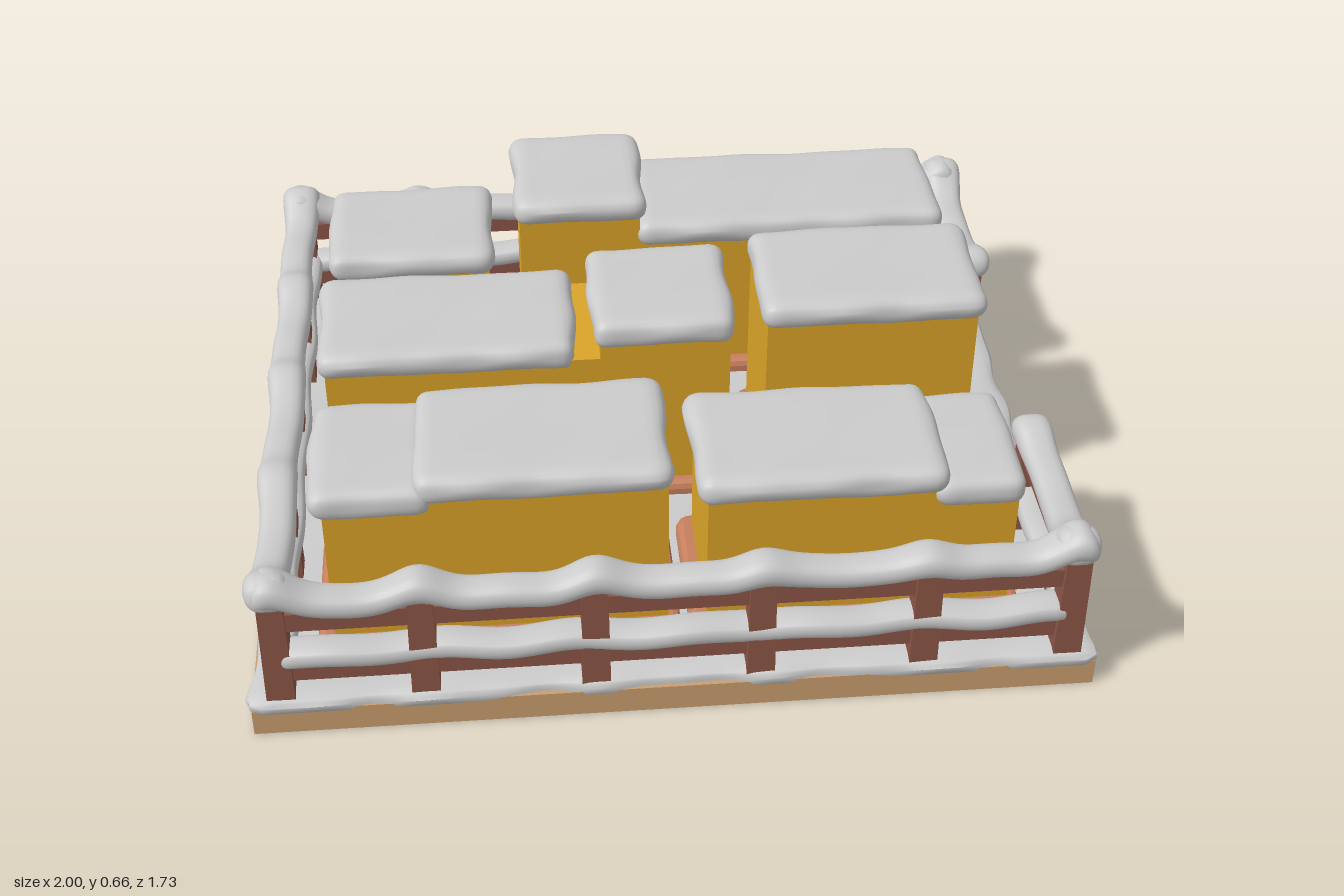
import * as THREE from 'three';
import { mergeVertices } from 'three/addons/utils/BufferGeometryUtils.js';

const paint = (color) => new THREE.MeshStandardMaterial({ color });

export function createModel() {
  const model = new THREE.Group();
  const snowMat = paint(0xcccccc);
  const woodMat = paint(0x8c5646);
  const baseMat = paint(0xcb9f70);
  const trayMat = paint(0xc67f5d);
  const blockMat = paint(0xdba429);

  const add = (name, geometry, material, x, y, z) => {
    const mesh = new THREE.Mesh(geometry, material);
    mesh.name = name;
    mesh.position.set(x, y, z);
    model.add(mesh);
    return mesh;
  };
  const box = (name, mat, w, h, d, x, y, z) => add(name, new THREE.BoxGeometry(w, h, d), mat, x, y, z);

  // Soft rounded slab; "shape" receives each vertex (model space) and its normal direction
  function snow(name, w, h, d, x, y, z, radius, step, shape) {
    const seg = (s) => Math.max(4, Math.ceil(s / step));
    let geo = new THREE.BoxGeometry(w, h, d, seg(w), 6, seg(d));
    geo.deleteAttribute('uv');
    geo.deleteAttribute('normal');
    geo = mergeVertices(geo);
    const half = new THREE.Vector3(w / 2 - radius, h / 2 - radius, d / 2 - radius);
    const low = half.clone().negate();
    const pos = geo.attributes.position;
    const p = new THREE.Vector3(), core = new THREE.Vector3(), n = new THREE.Vector3();
    for (let i = 0; i < pos.count; i++) {
      p.fromBufferAttribute(pos, i);
      core.copy(p).clamp(low, half);
      n.subVectors(p, core).normalize();
      p.copy(core).addScaledVector(n, radius);
      p.x += x; p.y += y; p.z += z;
      shape(p, n);
      pos.setXYZ(i, p.x, p.y, p.z);
    }
    geo.computeVertexNormals();
    return add(name, geo, snowMat, 0, 0, 0);
  }

  // Uneven surface: pushes edges in and out and lets the lower lip droop
  const drift = (amount) => (p, n) => {
    const wave = Math.sin(p.x * 17 + p.z * 5) + Math.sin(p.z * 19 - p.x * 4 + 1) + 0.6 * Math.sin((p.x + p.z) * 31);
    const side = Math.hypot(n.x, n.z);
    p.x += n.x * wave * amount;
    p.z += n.z * wave * amount;
    if (n.y < 0.2) p.y += side * wave * amount * 1.3;
    else p.y += 0.25 * wave * amount;
  };

  // Ground
  box('base', baseMat, 1.96, 0.07, 1.7, 0, 0.035, 0);
  snow('groundSnow', 1.97, 0.06, 1.7, 0, 0.07, 0, 0.028, 0.03, drift(0.006));

  // Trays: [x0, x1, z centre]
  const rows = [-0.52, -0.005, 0.51];
  const trays = [
    [-0.83, -0.36, 0], [-0.34, 0.83, 0],
    [-0.83, 0.22, 1], [0.25, 0.83, 1],
    [-0.83, 0.02, 2], [0.04, 0.83, 2],
  ];
  for (const [x0, x1, row] of trays) {
    const bevel = 0.018, r = 0.025;
    const w = (x1 - x0) / 2 - bevel, d = 0.2 - bevel;
    const s = new THREE.Shape();
    s.moveTo(-w + r, -d).lineTo(w - r, -d).quadraticCurveTo(w, -d, w, -d + r);
    s.lineTo(w, d - r).quadraticCurveTo(w, d, w - r, d);
    s.lineTo(-w + r, d).quadraticCurveTo(-w, d, -w, d - r);
    s.lineTo(-w, -d + r).quadraticCurveTo(-w, -d, -w + r, -d);
    const geo = new THREE.ExtrudeGeometry(s, { depth: 0.035, bevelSize: bevel, bevelThickness: bevel, bevelSegments: 2, curveSegments: 4 });
    geo.rotateX(-Math.PI / 2);
    add('tray', geo, trayMat, (x0 + x1) / 2, 0.082, rows[row]);
  }

  // Blocks with snow caps: [x0, x1, row, snow top, cap x0, cap x1]
  const blocks = [
    [-0.79, -0.39, 0, 0.51, -0.81, -0.375],
    [-0.305, 0.01, 0, 0.655, -0.32, 0.03],
    [0.01, 0.8, 0, 0.575, 0.0, 0.82],
    [-0.8, -0.13, 1, 0.565, -0.82, -0.185],
    [-0.13, 0.19, 1, 0.62, -0.15, 0.205],
    [0.28, 0.8, 1, 0.65, 0.265, 0.82],
    [-0.79, -0.57, 2, 0.555, -0.82, -0.54],
    [-0.57, -0.01, 2, 0.585, -0.585, 0.0],
    [0.08, 0.62, 2, 0.535, 0.055, 0.635],
    [0.62, 0.8, 2, 0.495, 0.6, 0.82],
  ];
  for (const [x0, x1, row, top, c0, c1] of blocks) {
    const z = rows[row], roof = top - 0.05;
    box('block', blockMat, x1 - x0, roof - 0.1, 0.335, (x0 + x1) / 2, (roof + 0.1) / 2, z);
    snow('blockSnow', c1 - c0, 0.075, 0.37, (c0 + c1) / 2, top - 0.0375, z, 0.036, 0.018, drift(0.0035));
  }

  // Fence run along one axis, with posts at the given places
  const donePosts = new Set();
  function fence(axis, across, posts) {
    const alongX = axis === 'x', other = alongX ? 'z' : 'x';
    const first = posts[0], last = posts[posts.length - 1];
    const mid = (first + last) / 2, length = last - first;
    const place = (t) => (alongX ? [t, across] : [across, t]);
    const size = (l, h, d) => (alongX ? [l, h, d] : [d, h, l]);
    const [mx, mz] = place(mid);

    for (const t of posts) {
      const [x, z] = place(t);
      const key = x + ',' + z;
      if (donePosts.has(key)) continue;
      donePosts.add(key);
      const geo = new THREE.CylinderGeometry(0.041, 0.047, 0.335, 4);
      geo.rotateY(Math.PI / 4);
      add('fencePost', geo.toNonIndexed(), woodMat, x, 0.235, z).geometry.computeVertexNormals();
    }
    for (const y of [0.165, 0.315]) box('fenceRail', woodMat, ...size(length, 0.05, 0.035), mx, y, mz);

    // Top snow swells over each post and sags between them
    snow('topRailSnow', ...size(length + 0.09, 0.062, 0.085), mx, 0.362, mz, 0.03, 0.016, (p, n) => {
      const t = p[axis];
      let heap = 0;
      for (const q of posts) {
        const corner = Math.abs(q) > 0.7 ? 1.6 : 0.9;
        heap += corner * Math.exp(-(((t - q) / 0.065) ** 2));
      }
      p.y += 0.03 * heap + n.y * 0.005 * heap + 0.003 * Math.sin(t * 29);
      p[other] = across + (p[other] - across) * (1 + 0.14 * heap) + 0.004 * Math.sin(t * 14);
    });
    snow('lowerRailSnow', ...size(length, 0.054, 0.08), mx, 0.21, mz, 0.025, 0.02, (p) => {
      const t = p[axis];
      p.y += 0.004 * Math.sin(t * 23 + 1);
      p[other] += 0.005 * Math.sin(t * 17 + 2);
    });
  }

  const longPosts = [-0.91, -0.58, -0.19, 0.19, 0.57, 0.91];
  fence('x', 0.81, longPosts);
  fence('x', -0.81, longPosts);
  fence('z', -0.91, [-0.81, -0.4, 0, 0.4, 0.81]);
  // Right-hand side leaves a gateway in the middle
  fence('z', 0.91, [-0.81, -0.38]);
  fence('z', 0.91, [0.37, 0.81]);

  return model;
}
